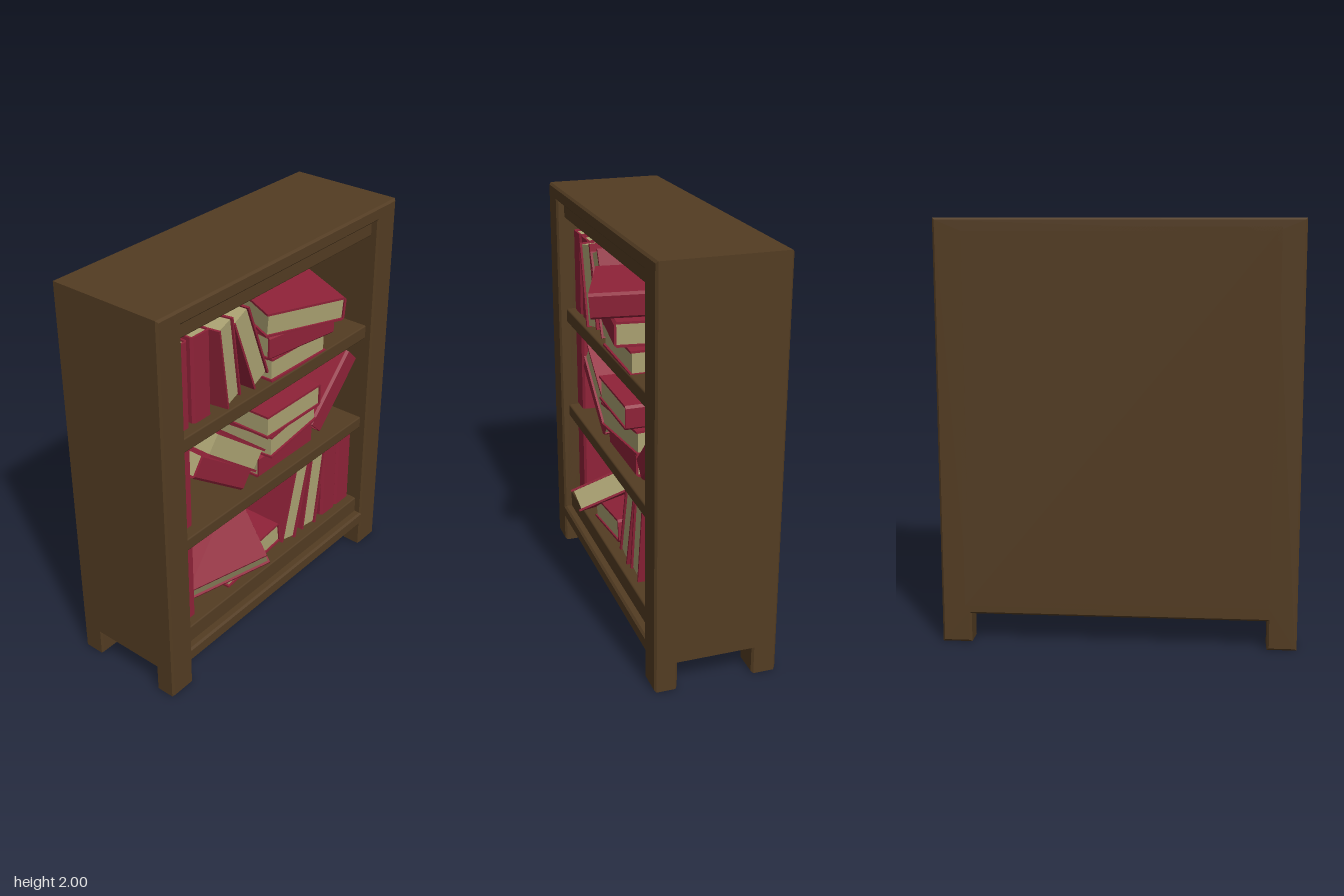
import * as THREE from 'three';
import { RoundedBoxGeometry } from 'three/addons/geometries/RoundedBoxGeometry.js';

const wood = new THREE.MeshStandardMaterial({ name: 'dark wood', color: 0x533c22 });
const red = new THREE.MeshStandardMaterial({ name: 'red cover', color: 0x8f2238 });
const paper = new THREE.MeshStandardMaterial({ name: 'aged paper', color: 0xaba272 });

const rad = THREE.MathUtils.degToRad;
const SIZE = 0.42, THICK = 0.12, BOARD = 0.011;

function polygon(points, Type = THREE.Shape) {
  return new Type(points.map(([x, y]) => new THREE.Vector2(x, y)));
}

function addMesh(parent, name, geometry, material) {
  const mesh = new THREE.Mesh(geometry, material);
  mesh.name = name;
  parent.add(mesh);
  return mesh;
}

// Cabinet ring: outline with the shelf opening cut through, between two z planes
function addSlab(parent, name, z0, z1, hasLegs, bevel) {
  const legs = [[0.7, 0.14], [0.7, 0], [0.84, 0]];
  const right = hasLegs ? legs : [[0.84, 0.14]];
  const left = right.map(([x, y]) => [-x, y]).reverse();
  const shape = polygon([...left, ...right, [0.84, 2], [-0.84, 2]]);
  shape.holes.push(polygon([[-0.698, 0.212], [-0.698, 1.93], [0.698, 1.93], [0.698, 0.212]], THREE.Path));
  const geometry = new THREE.ExtrudeGeometry(shape, {
    depth: z1 - z0 - 2 * bevel, bevelEnabled: bevel > 0, bevelSegments: 1,
    bevelSize: bevel, bevelThickness: bevel, bevelOffset: -bevel,
  });
  geometry.translate(0, 0, z0 + bevel);
  addMesh(parent, name, geometry, wood);
}

// Horizontal board between the side walls
function addBoard(parent, name, y0, y1) {
  const geometry = new RoundedBoxGeometry(1.44, y1 - y0, 0.53, 1, 0.008);
  addMesh(parent, name, geometry, wood).position.set(0, (y0 + y1) / 2, -0.07);
}

// Cover: U-shaped section with a chamfered spine at +y, extruded along z
const h = SIZE / 2, t = THICK / 2, c = 0.012;
const coverGeometry = new THREE.ExtrudeGeometry(polygon([
  [-t, -h], [-t + BOARD, -h], [-t + BOARD, h - BOARD], [t - BOARD, h - BOARD], [t - BOARD, -h],
  [t, -h], [t, h - c], [t - c, h], [-t + c, h], [-t, h - c],
]), { depth: SIZE, bevelEnabled: false });
coverGeometry.translate(0, 0, -h);
const pagesGeometry = new THREE.BoxGeometry(THICK - 2 * BOARD, SIZE - 0.018, SIZE - 0.016);
pagesGeometry.translate(0, 0.002, 0);

const spineTurn = { top: 0, front: 90, back: -90, bottom: 180 };

// Book whose front face is centred on (x, y, z); it extends backwards from there
function addBook(parent, { at, spine, lean = 0, yaw = 0, pitch = 0 }) {
  const book = new THREE.Group();
  book.name = 'book';
  book.position.set(...at);
  book.rotation.set(rad(pitch), rad(yaw), rad(lean), 'YXZ');
  const body = new THREE.Group();
  body.name = 'bookBody';
  body.position.z = -h;
  body.rotation.x = rad(spineTurn[spine]);
  addMesh(body, 'cover', coverGeometry, red);
  addMesh(body, 'pages', pagesGeometry, paper);
  book.add(body);
  parent.add(book);
  return book;
}

export function createModel() {
  const model = new THREE.Group();
  model.name = 'bookcase';

  // Cabinet
  const cabinet = new THREE.Group();
  cabinet.name = 'cabinet';
  model.add(cabinet);
  addSlab(cabinet, 'frontFrame', 0.125, 0.235, true, 0.01);
  addSlab(cabinet, 'body', -0.35, 0.225, false, 0);
  addSlab(cabinet, 'rearFrame', -0.36, -0.24, true, 0.01);
  addMesh(cabinet, 'backPanel', new THREE.BoxGeometry(1.46, 1.78, 0.04), wood).position.set(0, 1.07, -0.34);
  addBoard(cabinet, 'bottomShelf', 0.2, 0.3);
  addBoard(cabinet, 'lowerShelf', 0.755, 0.82);
  addBoard(cabinet, 'upperShelf', 1.287, 1.36);
  addBoard(cabinet, 'topRail', 1.842, 1.94);

  // Books on the upper shelf
  const upper = new THREE.Group();
  upper.name = 'upperBooks';
  [
    { at: [-0.633, 1.57, 0.15], spine: 'front' },
    { at: [-0.49, 1.57, 0.15], spine: 'front' },
    { at: [-0.335, 1.578, 0.18], spine: 'back', lean: 9, yaw: 10 },
    { at: [-0.175, 1.582, 0.17], spine: 'back', lean: 21, yaw: 3 },
    { at: [0.157, 1.418, 0.19], spine: 'back', lean: -91.5 },
    { at: [0.125, 1.547, 0.225], spine: 'front', lean: -91, yaw: -8 },
    { at: [0.085, 1.672, 0.275], spine: 'top', lean: -92, yaw: -21, pitch: 4 },
  ].forEach((b) => addBook(upper, b));

  // Books on the middle shelf
  const middle = new THREE.Group();
  middle.name = 'middleBooks';
  [
    { at: [-0.633, 1.045, 0.15], spine: 'front' },
    { at: [-0.355, 1.0, 0.15], spine: 'front', lean: 54 },
    { at: [-0.275, 1.08, 0.17], spine: 'back', lean: 52 },
    { at: [0.115, 0.893, 0.15], spine: 'front', lean: -90 },
    { at: [0.145, 1.015, 0.18], spine: 'back', lean: -89.5, yaw: 6 },
    { at: [0.115, 1.136, 0.2], spine: 'top', lean: -90.5 },
    { at: [0.513, 1.045, 0.15], spine: 'front', lean: -45 },
  ].forEach((b) => addBook(middle, b));

  // Books on the bottom shelf
  const lower = new THREE.Group();
  lower.name = 'lowerBooks';
  [
    { at: [-0.633, 0.512, 0.15], spine: 'front' },
    { at: [-0.14, 0.397, 0.16], spine: 'top', lean: -83 },
    { at: [0.197, 0.525, 0.16], spine: 'back', lean: -15 },
    { at: [0.35, 0.52, 0.16], spine: 'back', lean: -9 },
    { at: [0.505, 0.512, 0.15], spine: 'front' },
    { at: [0.631, 0.512, 0.15], spine: 'front' },
  ].forEach((b) => addBook(lower, b));

  // Book tumbling forward over the edge of the shelf
  const tumbled = addBook(lower, { at: [-0.37, 0.413, 0.19], spine: 'back' });
  const up = new THREE.Vector3(0.33, 0.15, 0.235).normalize();
  const side = up.clone().cross(new THREE.Vector3(-0.14, -0.19, 0.35)).normalize();
  const front = side.clone().cross(up);
  tumbled.setRotationFromMatrix(new THREE.Matrix4().makeBasis(side, up, front));

  model.add(upper, middle, lower);
  return model;
}
